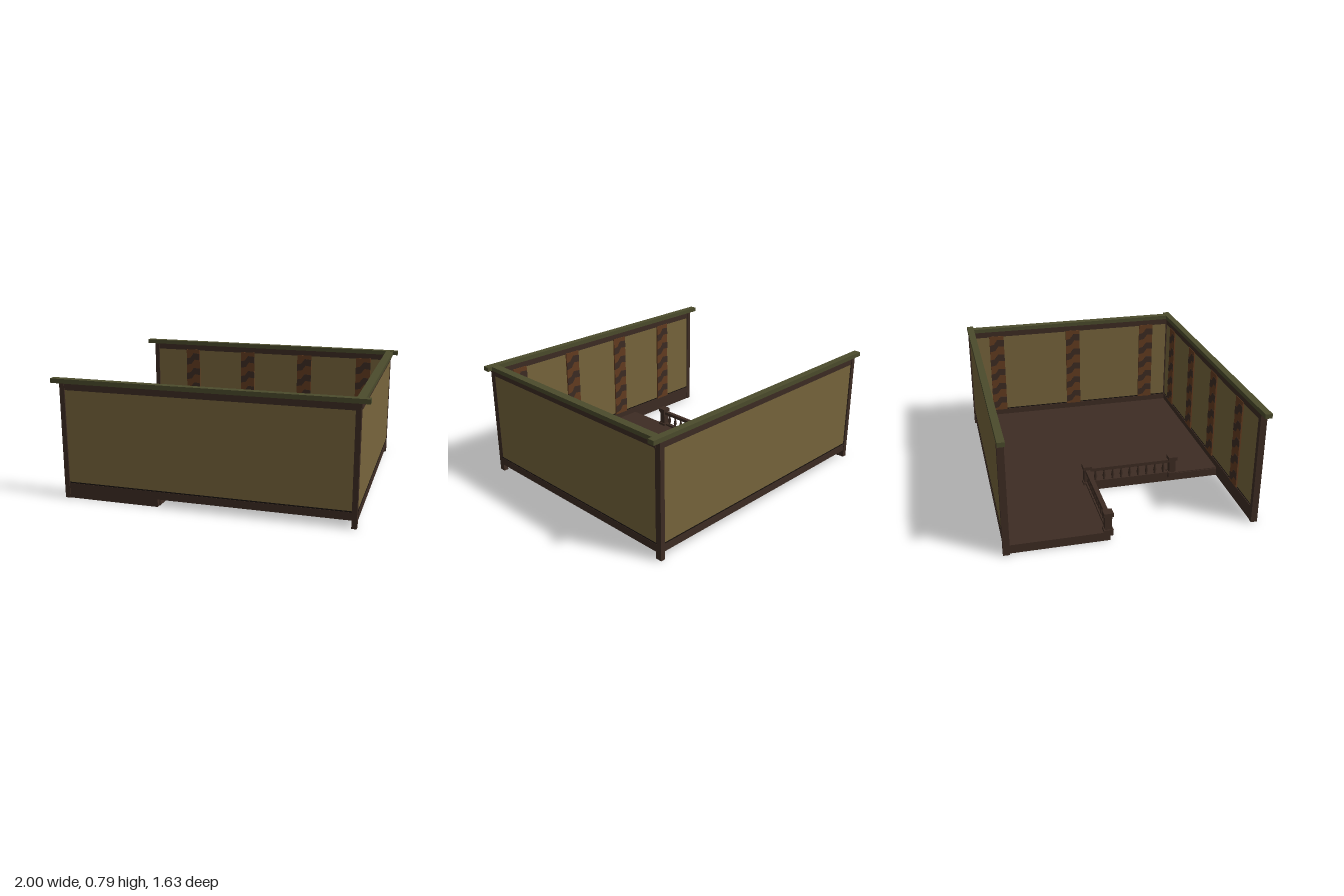
import * as THREE from 'three';

const mat = (name, color) => {
  const m = new THREE.MeshStandardMaterial({ color });
  m.name = name;
  return m;
};

export function createModel() {
  const wood = mat('darkWood', 0x3d2c23);
  const plaster = mat('plaster', 0x77653c);
  const green = mat('greenCap', 0x4b4b2c);
  const carved = mat('carvedWood', 0x633c20);
  const shade = mat('shadowGap', 0x17110d);

  const root = new THREE.Group();
  root.name = 'walledDeck';

  // Box given by its min and max corners
  const box = (parent, name, m, x0, x1, y0, y1, z0, z1) => {
    const mesh = new THREE.Mesh(new THREE.BoxGeometry(x1 - x0, y1 - y0, z1 - z0), m);
    mesh.position.set((x0 + x1) / 2, (y0 + y1) / 2, (z0 + z1) / 2);
    mesh.name = name;
    parent.add(mesh);
    return mesh;
  };

  // Slanted wavy stripe for the carved bands
  const W = 0.11;
  const stripe = new THREE.Shape();
  const h = W / 2, t = 0.052;
  stripe.moveTo(-h, 0);
  stripe.lineTo(-0.015, 0.008);
  stripe.lineTo(0.012, 0.045);
  stripe.lineTo(h, 0.04);
  stripe.lineTo(h, 0.04 + t);
  stripe.lineTo(0.005, 0.045 + t);
  stripe.lineTo(-0.022, 0.008 + t);
  stripe.lineTo(-h, t);
  const stripeGeo = new THREE.ExtrudeGeometry(stripe, { depth: 0.003, bevelEnabled: false });

  // Carved band on the inner face (local -z) of a wall
  const band = (wall, x) => {
    const g = new THREE.Group();
    g.name = 'carvedBand';
    g.position.set(x, 0, -0.012);
    g.rotation.y = Math.PI;
    box(g, 'bandBoard', carved, -h, h, 0.1, 0.72, 0, 0.01);
    for (let i = 0; i < 5; i++) {
      const s = new THREE.Mesh(stripeGeo, wood);
      s.name = 'bandStripe';
      s.position.set(0, 0.115 + i * 0.12, 0.009);
      g.add(s);
    }
    wall.add(g);
  };

  // Wall running along local x, outside facing local +z
  const makeWall = (name, x0, x1, bands) => {
    const g = new THREE.Group();
    g.name = name;
    box(g, 'panel', plaster, x0, x1, 0.1, 0.72, -0.012, 0.012);
    box(g, 'topBeam', wood, x0, x1, 0.715, 0.757, -0.018, 0.016);
    box(g, 'baseBeam', wood, x0, x1, 0.05, 0.1, -0.018, 0.016);
    box(g, 'baseGap', shade, x0, x1, 0.1, 0.107, -0.013, 0.014);
    bands.forEach((x) => band(g, x));
    root.add(g);
    return g;
  };

  // Long front and back walls with corner posts and overhanging caps
  for (const side of [1, -1]) {
    const bandX = [-0.615, -0.16, 0.295, 0.75].map((x) => x * side);
    const ends = side > 0 ? [-0.94, 0.95] : [-0.95, 0.94];
    const g = makeWall(side > 0 ? 'frontWall' : 'backWall', ends[0] + 0.01, ends[1] - 0.01, bandX);
    box(g, 'post', wood, ends[0], ends[0] + 0.032, 0, 0.757, -0.021, 0.021);
    box(g, 'post', wood, ends[1] - 0.032, ends[1], 0, 0.757, -0.021, 0.021);
    box(g, 'cap', green, -1, 1, 0.757, 0.786, -0.023, 0.023);
    g.position.z = side * 0.79;
    if (side < 0) g.rotation.y = Math.PI;
  }

  // Side wall on the model's left
  const sideWall = makeWall('sideWall', -0.775, 0.775, [-0.6, 0, 0.6]);
  box(sideWall, 'cap', green, -0.768, 0.768, 0.757, 0.785, -0.02, 0.032);
  sideWall.position.x = 0.937;
  sideWall.rotation.y = Math.PI / 2;

  // L-shaped floor, shape y mapped to -z
  const floorShape = new THREE.Shape();
  [[-0.925, 0.78], [0.93, 0.78], [0.93, -0.78], [-0.31, -0.78], [-0.31, 0.16], [-0.925, 0.16]]
    .forEach(([x, y], i) => (i ? floorShape.lineTo(x, y) : floorShape.moveTo(x, y)));
  const floor = new THREE.Mesh(
    new THREE.ExtrudeGeometry(floorShape, { depth: 0.008, bevelEnabled: false }), wood);
  floor.rotation.x = -Math.PI / 2;
  floor.position.y = 0.05;
  floor.name = 'floor';
  root.add(floor);

  // Skirts hanging below the open floor edges
  box(root, 'skirt', wood, -0.925, -0.905, 0, 0.052, -0.775, -0.15);
  box(root, 'skirt', wood, -0.925, -0.16, 0, 0.052, -0.17, -0.15);
  box(root, 'skirt', wood, -0.315, -0.295, 0, 0.052, -0.16, 0.775);
  box(root, 'skirt', wood, -0.935, -0.3, 0, 0.052, 0.772, 0.806);

  // Railing posts with foot and cap
  const postPoints = [[-0.9, -0.16], [-0.31, -0.16], [-0.31, 0.44]];
  for (const [x, z] of postPoints) {
    const g = new THREE.Group();
    g.name = 'railingPost';
    g.position.set(x, 0, z);
    box(g, 'foot', wood, -0.03, 0.03, 0.035, 0.075, -0.03, 0.03);
    box(g, 'shaft', wood, -0.022, 0.022, 0.07, 0.17, -0.022, 0.022);
    box(g, 'postCap', wood, -0.03, 0.03, 0.168, 0.192, -0.03, 0.03);
    root.add(g);
  }

  // Railings with turned balusters
  const balusterGeo = new THREE.LatheGeometry(
    [[0.009, 0.07], [0.006, 0.08], [0.012, 0.1], [0.006, 0.13], [0.009, 0.15]]
      .map(([r, y]) => new THREE.Vector2(r, y)), 8);
  const railing = (x, z, length, angle) => {
    const g = new THREE.Group();
    g.name = 'railing';
    g.position.set(x, 0, z);
    g.rotation.y = angle;
    box(g, 'handrail', wood, 0, length, 0.148, 0.17, -0.015, 0.015);
    box(g, 'bottomRail', wood, 0, length, 0.056, 0.072, -0.013, 0.013);
    for (let i = 1; i < 10; i++) {
      const b = new THREE.Mesh(balusterGeo, wood);
      b.name = 'baluster';
      b.position.x = (length * i) / 10;
      g.add(b);
    }
    root.add(g);
  };
  railing(-0.9, -0.16, 0.59, 0);
  railing(-0.31, -0.16, 0.6, -Math.PI / 2);

  return root;
}
